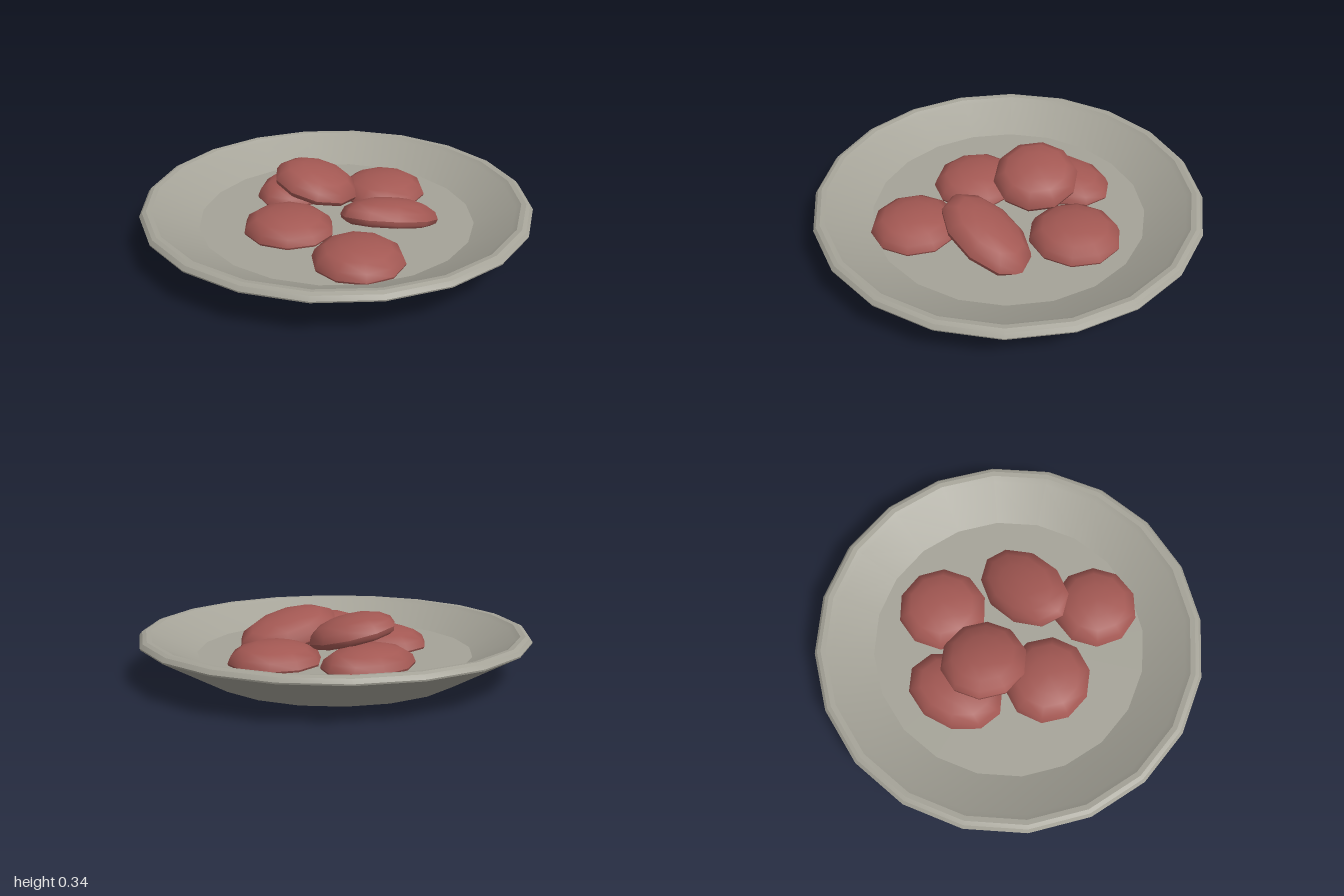
import * as THREE from 'three';
import { toCreasedNormals } from 'three/addons/utils/BufferGeometryUtils.js';

const plateGrey = new THREE.MeshStandardMaterial({ color: 0xa5a398 });
plateGrey.name = 'plateGrey';
const foodRed = new THREE.MeshStandardMaterial({ color: 0xa35853 });
foodRed.name = 'foodRed';

// Turned solid from [radius, height] pairs running from the bottom centre to the top centre
function turned(profile, sides, crease) {
  const points = profile.map(([r, y]) => new THREE.Vector2(r, y));
  return toCreasedNormals(new THREE.LatheGeometry(points, sides), THREE.MathUtils.degToRad(crease));
}

export function createModel() {
  const group = new THREE.Group();
  group.name = 'plateOfFood';

  // Shallow dish with a rounded lip and a flat floor
  const plate = new THREE.Mesh(turned([
    [0, 0], [0.665, 0], [0.998, 0.19], [1, 0.198], [0.985, 0.217], [0.965, 0.225],
    [0.94, 0.222], [0.915, 0.205], [0.71, 0.105], [0, 0.105],
  ], 20, 23), plateGrey);
  plate.name = 'plate';
  group.add(plate);

  // Unit-radius domed patty with a shallow underside
  const pattyShape = turned([
    [0, -0.035], [0.85, -0.03], [0.97, -0.015], [1, 0.005], [0.93, 0.042],
    [0.72, 0.073], [0.42, 0.094], [0, 0.102],
  ], 10, 42);

  // pos, half width, half length, yaw; tilt in degrees, raising the side that faces (ux, uz)
  const patties = [
    { pos: [-0.02, 0.11, -0.4], w: 0.23, l: 0.235, yaw: 0.2 },
    { pos: [-0.37, 0.11, -0.1], w: 0.195, l: 0.26, yaw: 0.05 },
    { pos: [-0.075, 0.11, 0.275], w: 0.236, l: 0.222, yaw: 0.1 },
    { pos: [0.405, 0.11, 0.29], w: 0.226, l: 0.224, yaw: 0.25 },
    { pos: [-0.185, 0.223, -0.04], w: 0.228, l: 0.222, yaw: 0.15, tilt: 14, ux: -0.82, uz: 0.57 },
    { pos: [0.29, 0.163, -0.08], w: 0.188, l: 0.285, yaw: -0.2, tilt: 19, ux: 0.45, uz: 0.89 },
  ];
  for (const { pos, w, l, yaw, tilt = 0, ux = 1, uz = 0 } of patties) {
    const patty = new THREE.Mesh(pattyShape, foodRed);
    patty.name = 'patty';
    patty.scale.set(w, 1, l);
    patty.rotation.y = yaw;
    const lean = new THREE.Vector3(-uz, 0, ux).normalize();
    patty.quaternion.premultiply(
      new THREE.Quaternion().setFromAxisAngle(lean, THREE.MathUtils.degToRad(tilt)));
    patty.position.set(...pos);
    group.add(patty);
  }
  return group;
}
